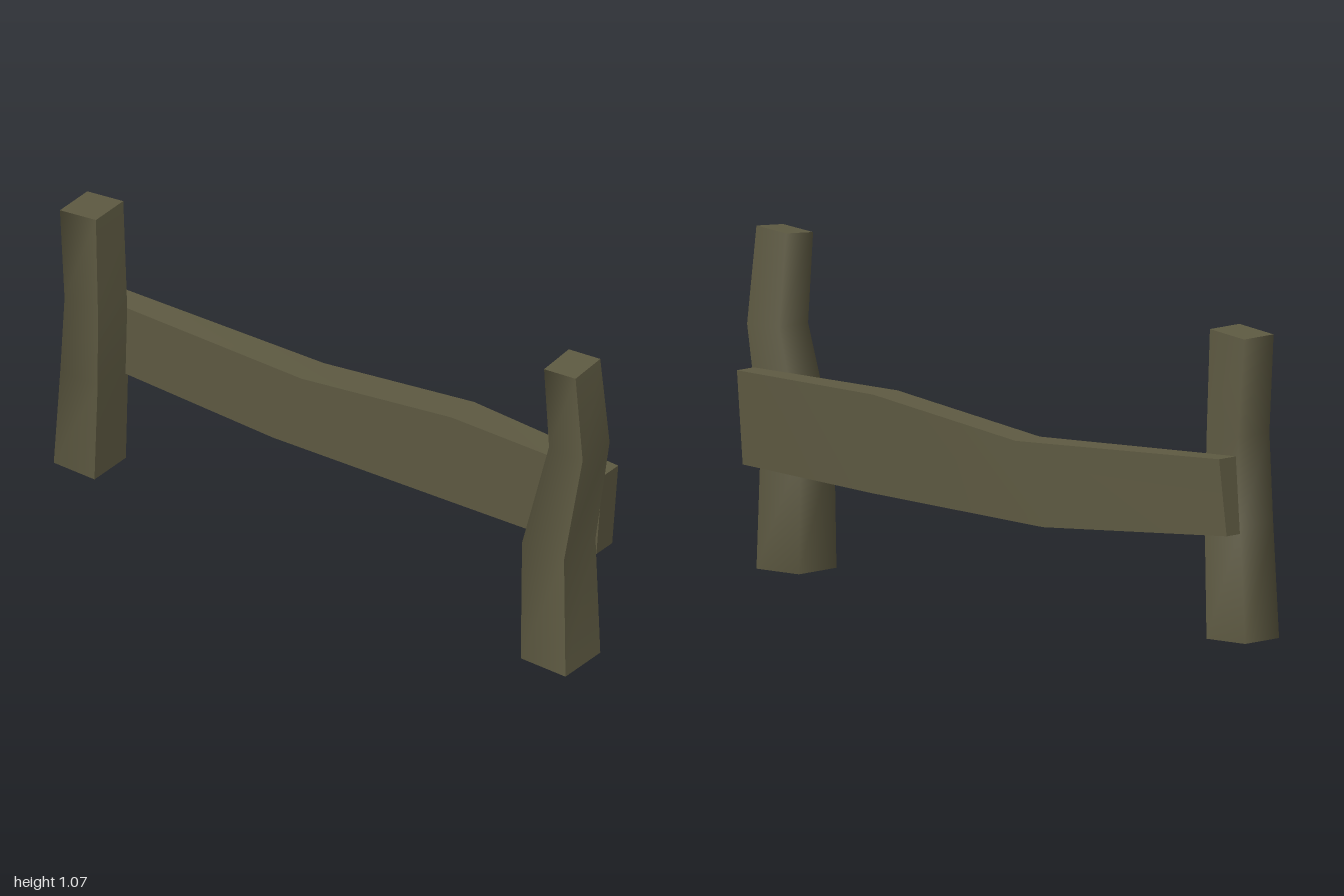
import * as THREE from 'three';
import { mergeGeometries } from 'three/addons/utils/BufferGeometryUtils.js';

// Patch over rows of points, with smooth normals inside the patch
function patch(rows) {
  const n = rows[0].length;
  const index = [];
  for (let i = 0; i < rows.length - 1; i++) {
    for (let j = 0; j < n - 1; j++) {
      const a = i * n + j, b = a + 1, c = a + n, d = c + 1;
      index.push(a, b, d, a, d, c);
    }
  }
  const geometry = new THREE.BufferGeometry();
  geometry.setAttribute('position', new THREE.Float32BufferAttribute(rows.flat(2), 3));
  geometry.setIndex(index);
  geometry.computeVertexNormals();
  return geometry;
}

// Four-sided beam through cross-sections; each strip of corners is smoothed on its own
function beam(sections, strips) {
  const parts = strips.map((strip) => patch(sections.map((s) => strip.map((k) => s[k]))));
  const a = sections[0], b = sections[sections.length - 1];
  parts.push(patch([[b[0], b[1]], [b[3], b[2]]]));
  parts.push(patch([[a[3], a[2]], [a[0], a[1]]]));
  return mergeGeometries(parts);
}

// Level of a post; the tilts raise the +x and +z sides
const level = (y, x0, x1, z0, z1, tiltX = 0, tiltZ = 0) => [
  [x1, y + tiltX + tiltZ, z1],
  [x1, y + tiltX - tiltZ, z0],
  [x0, y - tiltX - tiltZ, z0],
  [x0, y - tiltX + tiltZ, z1],
];

// Section of the rail; its top and bottom may sit at different z
const railSection = (x0, x1, yBottom, zBottom, yTop, zTop) => [
  [x1, yBottom, zBottom],
  [x1, yTop, zTop],
  [x0, yTop, zTop],
  [x0, yBottom, zBottom],
];

export function createModel() {
  const wood = new THREE.MeshStandardMaterial({ color: 0x5e5a42 });
  wood.name = 'weathered wood';
  const model = new THREE.Group();
  model.name = 'fence';
  const add = (name, geometry) => {
    const mesh = new THREE.Mesh(geometry, wood);
    mesh.name = name;
    model.add(mesh);
  };

  const postStrips = [[0, 1, 2, 3], [3, 0]];
  const railStrips = [[0, 1], [1, 2], [2, 3], [3, 0]];

  // Tall post at the front
  add('frontPost', beam([
    level(0.022, -0.152, 0.02, 0.81, 0.98),
    level(0.41, -0.12, 0.035, 0.79, 0.95),
    level(0.77, -0.093, 0.04, 0.872, 1.0),
    level(1.058, -0.102, 0.02, 0.86, 0.98, 0.005, 0.006),
  ], postStrips));

  // Shorter post at the back
  add('backPost', beam([
    level(0, -0.11, 0.045, -1.0, -0.845),
    level(0.35, -0.123, 0.028, -0.965, -0.823),
    level(0.62, -0.132, 0.01, -0.942, -0.815),
    level(0.93, -0.125, 0.01, -0.965, -0.828, 0, 0.009),
  ], postStrips));

  // Bent rail along the left side of both posts
  add('rail', beam([
    railSection(0.01, 0.09, 0.33, -0.965, 0.562, -0.935),
    railSection(0.037, 0.148, 0.294, -0.28, 0.546, -0.17),
    railSection(0.037, 0.148, 0.327, 0.41, 0.628, 0.4),
    railSection(0.037, 0.115, 0.354, 0.952, 0.639, 0.975),
  ], railStrips));

  return model;
}
